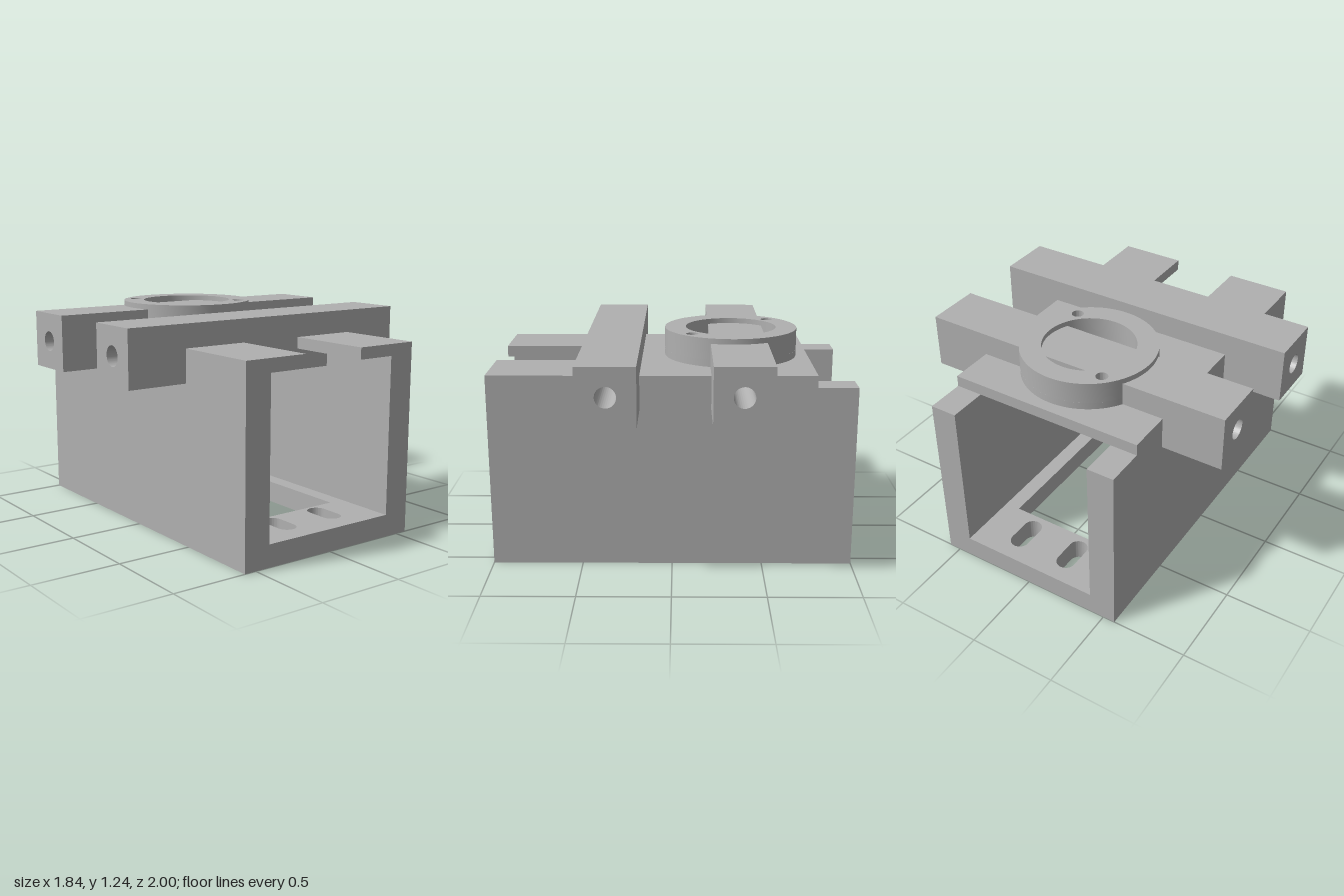
import * as THREE from 'three';
import { toCreasedNormals } from 'three/addons/utils/BufferGeometryUtils.js';

const grey = new THREE.MeshStandardMaterial({ color: 0xb0b0b0 });
grey.name = 'grey';

// Extrude with crisp edges and smooth round walls
function extrude(shape, depth) {
  const g = new THREE.ExtrudeGeometry(shape, { depth, bevelEnabled: false, curveSegments: 32 });
  return toCreasedNormals(g, 0.6);
}

// Plan shape (x, -z) raised from y0 by h
const upright = (shape, y0, h) => extrude(shape, h).rotateX(-Math.PI / 2).translate(0, y0, 0);

// Side profile (-z, y) swept along x from x0 by w
const sideways = (shape, x0, w) => extrude(shape, w).rotateY(Math.PI / 2).translate(x0, 0, 0);

function polygon(points) {
  return new THREE.Shape(points.map(([x, y]) => new THREE.Vector2(x, y)));
}

function rect(x0, x1, y0, y1) {
  return polygon([[x0, y0], [x1, y0], [x1, y1], [x0, y1]]);
}

function circle(x, y, r) {
  return new THREE.Path().absarc(x, y, r, 0, Math.PI * 2, false);
}

// Elongated hole with round ends along y
function slot(x, y0, y1, r) {
  const p = new THREE.Path();
  p.absarc(x, y1 - r, r, 0, Math.PI, false);
  p.absarc(x, y0 + r, r, Math.PI, Math.PI * 2, false);
  p.closePath();
  return p;
}

export function createModel() {
  const group = new THREE.Group();
  const add = (name, geometry) => {
    const mesh = new THREE.Mesh(geometry, grey);
    mesh.name = name;
    group.add(mesh);
  };
  const box = (name, x0, x1, y0, y1, z0, z1) => add(name,
    new THREE.BoxGeometry(x1 - x0, y1 - y0, z1 - z0)
      .translate((x0 + x1) / 2, (y0 + y1) / 2, (z0 + z1) / 2));

  const W = 0.57, inner = 0.415, top = 1.08, under = 1.015, floorTop = 0.125;
  const barLow = 0.895, barHigh = 1.21;
  const bars = { rear: [-0.525, -0.21], front: [0.175, 0.49] };

  // Floor with a large window and four mounting slots
  const floor = rect(-inner, inner, -1, 1);
  floor.holes.push(rect(-0.325, 0.325, -0.645, 0.645));
  for (const x of [-0.16, 0.16]) {
    floor.holes.push(slot(x, -0.885, -0.66, 0.055), slot(x, 0.68, 0.91, 0.055));
  }
  add('floor', upright(floor, 0, floorTop));

  // Side walls, notched where the bars pass and stepped down at the rear
  const wall = polygon([
    [-1, 0], [1, 0], [1, under], [0.78, under], [0.78, top],
    [0.525, top], [0.525, barLow], [0.21, barLow], [0.21, top],
    [-0.175, top], [-0.175, barLow], [-0.49, barLow], [-0.49, top], [-1, top],
  ]);
  add('leftWall', sideways(wall, inner, W - inner));
  add('rightWall', sideways(wall, -W, W - inner));

  // Top plate sections between the bars, and the two front flanges
  box('rearTopPlate', -inner, inner, under, top, -0.78, bars.rear[0]);
  box('middleTopPlate', -inner, inner, under, top, bars.rear[1], bars.front[0]);
  box('leftFrontFlange', 0.19, inner, under, top, bars.front[1], 1);
  box('rightFrontFlange', -inner, -0.19, under, top, bars.front[1], 1);

  // Cross bars bored end to end
  for (const [name, [z0, z1]] of Object.entries(bars)) {
    const profile = rect(-z1, -z0, barLow, barHigh);
    profile.holes.push(circle(-(z0 + z1) / 2, 1.052, 0.056));
    add(name + 'CrossBar', sideways(profile, -0.92, 1.84));
  }

  // Ring collar with two screw holes
  const cy = 0.335, ro = 0.38, ri = 0.26, hr = 0.034, seam = 1.12;
  const ring = new THREE.Shape().absarc(0, cy, ro, 0, Math.PI * 2, false);
  ring.holes.push(circle(0, cy, ri), circle(-0.225, cy + 0.225, hr), circle(0.225, cy - 0.225, hr));
  add('ringCollar', upright(ring, seam, 1.24 - seam));

  // Lower collar arcs on either side of the rear bar
  const arcs = [['rearCollarFoot', 1, 0.188], ['frontCollarFoot', -1, 0.123]];
  for (const [name, side, d] of arcs) {
    const turn = side > 0 ? 0 : Math.PI;
    const a = Math.asin(d / ro), b = Math.asin(d / ri);
    const foot = new THREE.Shape();
    foot.absarc(0, cy, ro, turn + a, turn + Math.PI - a, false);
    foot.absarc(0, cy, ri, turn + Math.PI - b, turn + b, true);
    foot.closePath();
    foot.holes.push(circle(-0.225 * side, cy + 0.225 * side, hr));
    add(name, upright(foot, top, seam - top));
  }

  return group;
}
